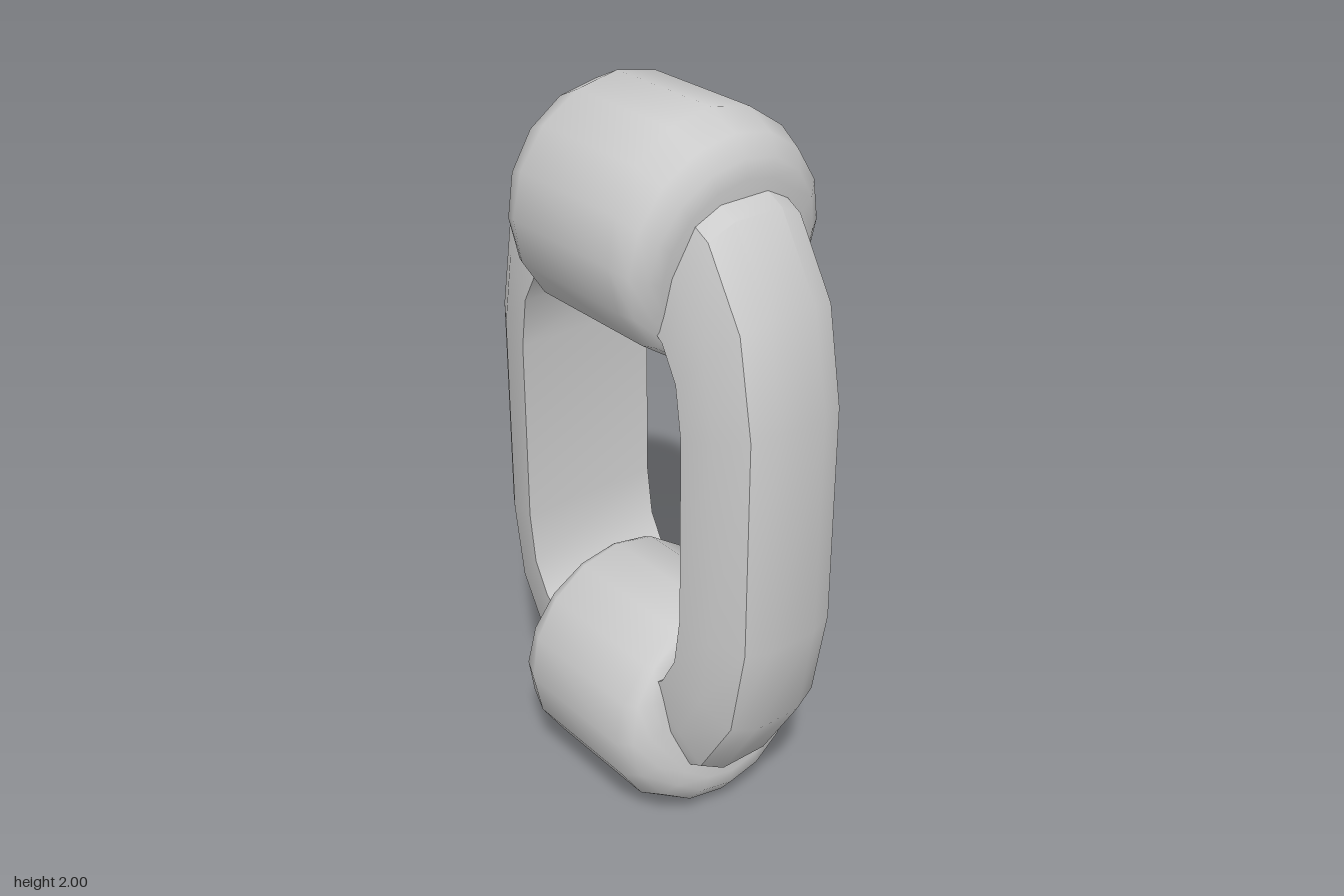
import * as THREE from 'three';
import { toCreasedNormals } from 'three/addons/utils/BufferGeometryUtils.js';

const grey = new THREE.MeshStandardMaterial({ color: 0xcccccc });

// Skin a list of equal-length rings of [x, y, z] points; closed joins last to first.
function loft(rings, closed, crease) {
  const n = rings[0].length;
  const index = [];
  const spans = closed ? rings.length : rings.length - 1;
  for (let i = 0; i < spans; i++) {
    const next = (i + 1) % rings.length;
    for (let j = 0; j < n; j++) {
      const k = (j + 1) % n;
      const a = i * n + j, b = i * n + k, c = next * n + k, d = next * n + j;
      index.push(a, b, c, a, c, d);
    }
  }
  const geometry = new THREE.BufferGeometry();
  geometry.setAttribute('position', new THREE.Float32BufferAttribute(rings.flat(2), 3));
  geometry.setIndex(index);
  return toCreasedNormals(geometry, crease);
}

// Oval link with a D-shaped section: flat inside, rounded outside
function linkGeometry() {
  // one quarter of the path: outer x, y and inner x, y, measured from the link's centre
  const quarter = [
    [0.525, 0.31, 0.325, 0.26],
    [0.475, 0.585, 0.305, 0.4],
    [0.35, 0.79, 0.255, 0.49],
    [0.29, 0.82, 0.2, 0.53],
  ];
  const mirror = (list, sx, sy) => list.map(([a, b, c, d]) => [a * sx, b * sy, c * sx, d * sy]);
  const back = [...quarter].reverse();
  const path = [
    ...quarter, ...mirror(back, -1, 1), ...mirror(quarter, -1, -1), ...mirror(back, 1, -1),
  ];
  // section: share of the way from inside to outside, and z
  const half = [[0, 0.208], [0.49, 0.192], [0.88, 0.142], [1, 0.072]];
  const section = [...half, ...[...half].reverse().map(([t, z]) => [t, -z])];
  const rings = path.map(([ox, oy, ix, iy]) =>
    section.map(([t, z]) => [ix + (ox - ix) * t, iy + (oy - iy) * t, z]));
  return loft(rings, true, 0.6);
}

// Wedge-shaped sleeve with rounded rims, wider at the top than at the bottom
function sleeveGeometry() {
  // rings on one side: top x, top y, bottom x, bottom y, z radius
  const side = [
    [0.175, 0.313, 0.2, -0.313, 0.313],
    [0.26, 0.272, 0.217, -0.305, 0.293],
    [0.3, 0.222, 0.228, -0.285, 0.255],
    [0.308, 0.175, 0.231, -0.262, 0.22],
    [0.27, -0.04, 0.27, -0.04, 0],
  ];
  const left = [...side].reverse().map(([tx, ty, bx, by, r]) => [-tx, ty, -bx, by, r]);
  const rings = [...left, ...side].map(([tx, ty, bx, by, r]) =>
    Array.from({ length: 16 }, (_, j) => {
      const angle = (j / 16) * Math.PI * 2;
      const t = (1 + Math.cos(angle)) / 2;
      return [bx + (tx - bx) * t, by + (ty - by) * t, r * Math.sin(angle)];
    }));
  return loft(rings, false, 1.0);
}

export function createModel() {
  const model = new THREE.Group();
  model.name = 'chainLink';

  const link = new THREE.Mesh(linkGeometry(), grey);
  link.name = 'ovalLink';
  link.position.y = 1;
  model.add(link);

  // Matching sleeves over both ends, the lower one upside down
  const sleeve = sleeveGeometry();
  for (const [name, y, turn] of [['upperSleeve', 1.687, 0], ['lowerSleeve', 0.313, Math.PI]]) {
    const mesh = new THREE.Mesh(sleeve, grey);
    mesh.name = name;
    mesh.position.y = y;
    mesh.rotation.z = turn;
    model.add(mesh);
  }
  return model;
}
